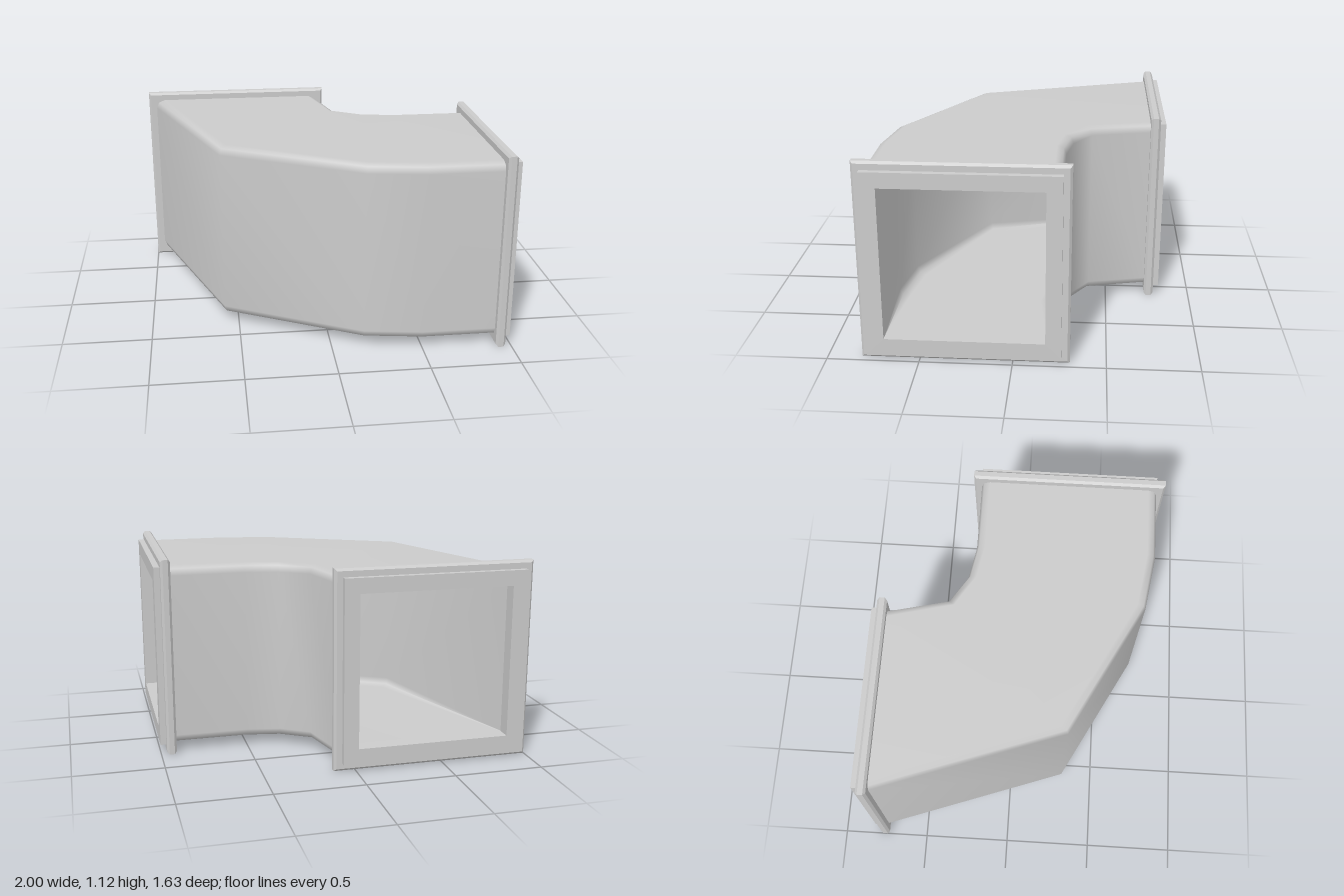
import * as THREE from 'three';

const MID_Y = 0.558; // height of the duct's centre line
const material = new THREE.MeshStandardMaterial({ color: 0xcccccc, side: THREE.DoubleSide });

// Plan points [x, z] on the inside and the outside of the bend, from back to side opening
const stations = [
  { inner: [0.075, -0.74], outer: [-0.955, -0.74] },
  { inner: [0.155, -0.395], outer: [-0.58, 0.315] },
  { inner: [0.31, -0.295], outer: [0.18, 0.72] },
  { inner: [0.5, -0.26], outer: [0.5, 0.77] },
  { inner: [0.92, -0.26], outer: [0.92, 0.77] },
];

// Rectangle with rounded corners, counter-clockwise, as [across, up] offsets
function roundedSection(halfW, halfH, r, steps = 2) {
  const points = [];
  [[1, 1], [-1, 1], [-1, -1], [1, -1]].forEach(([sx, sy], corner) => {
    for (let k = 0; k <= steps; k++) {
      const a = (corner + k / steps) * Math.PI / 2;
      points.push([sx * (halfW - r) + r * Math.cos(a), sy * (halfH - r) + r * Math.sin(a)]);
    }
  });
  return points;
}

// Skin swept through the stations; inset > 0 gives the lining, facing inward
function ductSkin(name, inset, radius, endRadius, faceInward) {
  const positions = [], index = [];
  let count = 0;
  stations.forEach(({ inner, outer }, s) => {
    const a = new THREE.Vector2(...inner), b = new THREE.Vector2(...outer);
    const centre = a.clone().add(b).multiplyScalar(0.5);
    const across = b.clone().sub(a);
    const halfW = across.length() / 2 - inset;
    across.normalize();
    const atEnd = s === 0 || s === stations.length - 1;
    const section = roundedSection(halfW, 0.512 - inset, atEnd ? endRadius : radius);
    count = section.length;
    for (const [u, v] of section) {
      positions.push(centre.x + across.x * u, MID_Y + v, centre.y + across.y * u);
    }
  });
  for (let s = 0; s < stations.length - 1; s++) {
    for (let i = 0; i < count; i++) {
      const p = s * count + i, e = s * count + (i + 1) % count;
      const t = p + count, te = e + count;
      if (faceInward) index.push(p, e, t, e, te, t);
      else index.push(p, t, e, e, t, te);
    }
  }
  const geometry = new THREE.BufferGeometry();
  geometry.setAttribute('position', new THREE.Float32BufferAttribute(positions, 3));
  geometry.setIndex(index);
  geometry.computeVertexNormals();
  const mesh = new THREE.Mesh(geometry, material);
  mesh.name = name;
  return mesh;
}

function traceRectangle(path, w, h) {
  path.moveTo(-w, -h).lineTo(w, -h).lineTo(w, h).lineTo(-w, h).closePath();
  return path;
}

// Square frame from z = 0 to z = depth, with bevelled edges if bevel > 0
function frame(name, halfW, halfH, holeW, holeH, depth, bevel) {
  const shape = traceRectangle(new THREE.Shape(), halfW - bevel, halfH - bevel);
  shape.holes.push(traceRectangle(new THREE.Path(), holeW, holeH));
  const geometry = new THREE.ExtrudeGeometry(shape, {
    depth: depth - 2 * bevel, bevelEnabled: bevel > 0,
    bevelSize: bevel, bevelThickness: bevel, bevelSegments: 1,
  });
  geometry.translate(0, 0, bevel);
  const mesh = new THREE.Mesh(geometry, material);
  mesh.name = name;
  return mesh;
}

// Collar and raised flange around one opening
function opening(name) {
  const group = new THREE.Group();
  group.name = name;
  group.add(
    frame('collar', 0.515, 0.512, 0.43, 0.427, 0.088, 0),
    frame('flange', 0.56, 0.558, 0.48, 0.48, 0.055, 0.013),
  );
  return group;
}

export function createModel() {
  const model = new THREE.Group();
  model.name = 'ductElbow';
  model.add(ductSkin('ductShell', 0, 0.05, 0.05, false));
  model.add(ductSkin('ductLining', 0.085, 0.05, 0.003, true));

  const side = opening('sideOpening');
  side.position.set(0.912, MID_Y, 0.255);
  side.rotation.y = Math.PI / 2;

  const back = opening('backOpening');
  back.position.set(-0.44, MID_Y, -0.732);
  back.rotation.y = Math.PI;

  model.add(side, back);
  return model;
}
